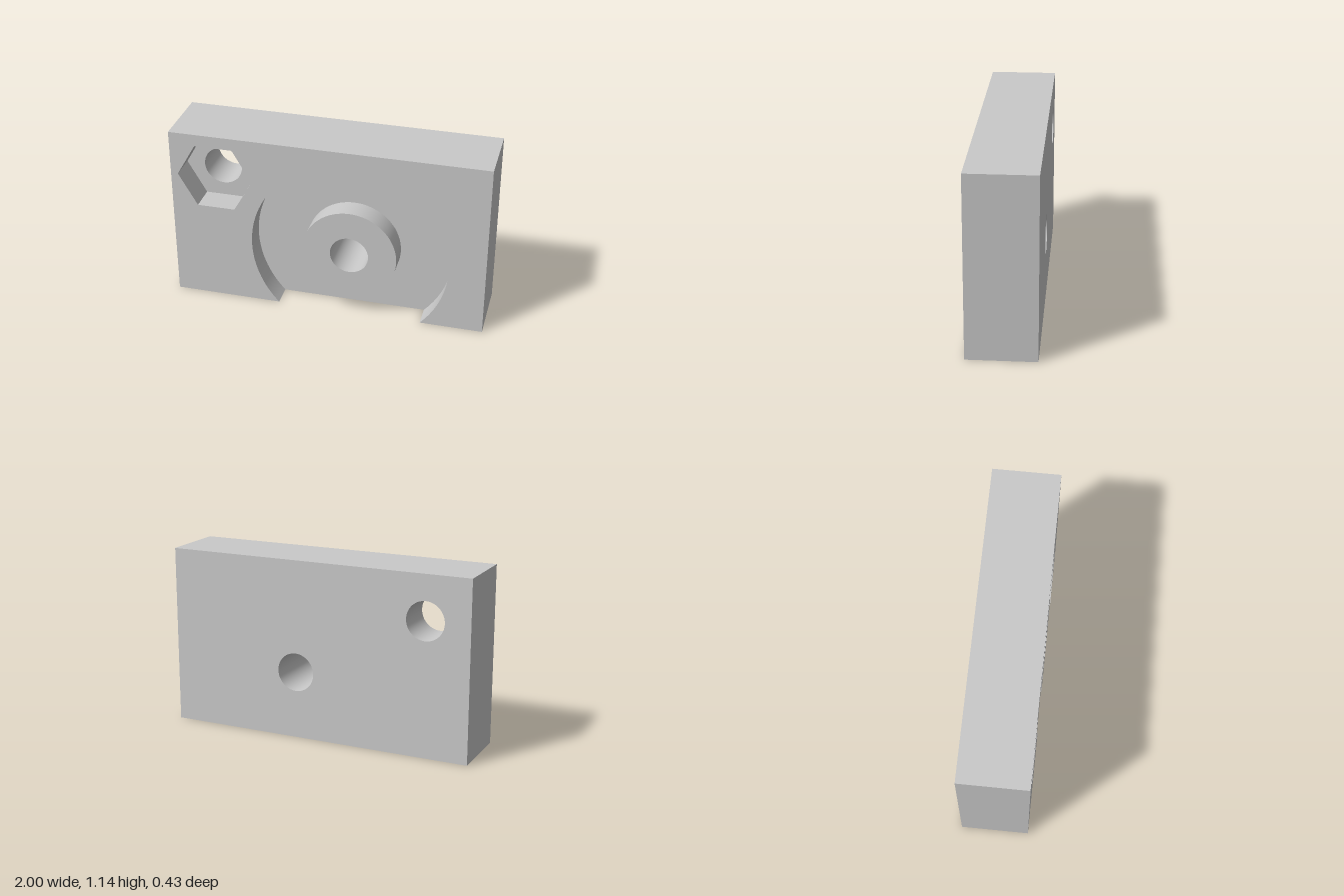
import * as THREE from 'three';
import { mergeGeometries } from 'three/addons/utils/BufferGeometryUtils.js';

const HEIGHT = 1.143;
const FRONT = 0.2143, BACK = -0.2143;
const RECESS_FLOOR = 0.0714, NUT_FLOOR = 0.043;
const RECESS = { x: 0.143, y: 0.4286, r: 0.63 };
const NUT = { x: -0.715, y: 0.858, r: 0.24 };
const BOSS_R = 0.3, HOLE_R = 0.122;

const pt = (x, y) => new THREE.Vector2(x, y);

// Points along an arc, from angle a0 to a1
function arc(c, r, a0, a1, n) {
  return Array.from({ length: n + 1 }, (_, i) => {
    const a = a0 + (a1 - a0) * i / n;
    return pt(c.x + r * Math.cos(a), c.y + r * Math.sin(a));
  });
}
const ring = (c, r, n = 72) => arc(c, r, 0, Math.PI * 2, n);

// Flat face in the xy plane at depth z, with holes; faces +z unless flipped
function face(points, holes, z, flip = false) {
  const shape = new THREE.Shape(points);
  holes.forEach(h => shape.holes.push(new THREE.Path(h)));
  const g = new THREE.ShapeGeometry(shape);
  if (flip) {
    g.setIndex(Array.from(g.index.array).reverse());
    g.scale(1, 1, -1);
  }
  return g.toNonIndexed().translate(0, 0, z);
}

// Wall along a path from depth z0 to z1; faces the right-hand side of the path
function wall(points, z0, z1, smooth = false) {
  const pos = [], idx = [];
  points.forEach((p, i) => {
    pos.push(p.x, p.y, z0, p.x, p.y, z1);
    if (i < points.length - 1) {
      const a = 2 * i;
      idx.push(a, a + 2, a + 3, a, a + 3, a + 1);
    }
  });
  let g = new THREE.BufferGeometry();
  g.setAttribute('position', new THREE.Float32BufferAttribute(pos, 3));
  g.setIndex(idx);
  if (smooth) g.computeVertexNormals();
  g = g.toNonIndexed();
  if (!smooth) g.computeVertexNormals();
  return g;
}

export function createModel() {
  const group = new THREE.Group();
  const grey = new THREE.MeshStandardMaterial({ color: 0xc9c9c9 });
  grey.name = 'light grey';

  const add = (name, ...parts) => {
    parts.forEach(g => g.deleteAttribute('uv'));
    const mesh = new THREE.Mesh(mergeGeometries(parts), grey);
    mesh.name = name;
    group.add(mesh);
  };

  const dip = Math.asin(RECESS.y / RECESS.r);
  const recessArc = arc(RECESS, RECESS.r, Math.PI + dip, -dip, 96);
  const leftEdge = recessArc[0], rightEdge = recessArc[recessArc.length - 1];
  const hexagon = ring(NUT, NUT.r, 6);
  const nutHole = ring(NUT, HOLE_R), bossHole = ring(RECESS, HOLE_R);
  const bossRing = ring(RECESS, BOSS_R);
  const corners = [pt(-1, 0), pt(1, 0), pt(1, HEIGHT), pt(-1, HEIGHT)];
  const open = points => points.slice(0, -1);
  const reversed = points => [...points].reverse();

  // Block: front face around the recess, back face, sides and underside
  add('block',
    face([corners[0], ...recessArc, ...corners.slice(1)], [open(hexagon)], FRONT),
    face(corners, [open(nutHole), open(bossHole)], BACK, true),
    wall([...corners.slice(1), corners[0]], BACK, FRONT),
    wall([corners[0], corners[1]], BACK, RECESS_FLOOR),
    wall([corners[0], leftEdge], RECESS_FLOOR, FRONT),
    wall([rightEdge, corners[1]], RECESS_FLOOR, FRONT));

  // Round recess, cut off by the underside
  add('roundRecess',
    face(reversed(recessArc), [open(bossRing)], RECESS_FLOOR),
    wall(recessArc, RECESS_FLOOR, FRONT, true));

  // Boss level with the front, drilled through
  add('boss',
    face(open(bossRing), [open(bossHole)], FRONT),
    wall(bossRing, RECESS_FLOOR, FRONT, true));
  add('bossHole', wall(reversed(bossHole), BACK, FRONT, true));

  // Hexagonal nut pocket with its bolt hole
  add('nutPocket',
    face(open(hexagon), [open(nutHole)], NUT_FLOOR),
    wall(reversed(hexagon), NUT_FLOOR, FRONT));
  add('boltHole', wall(reversed(nutHole), BACK, NUT_FLOOR, true));

  return group;
}
